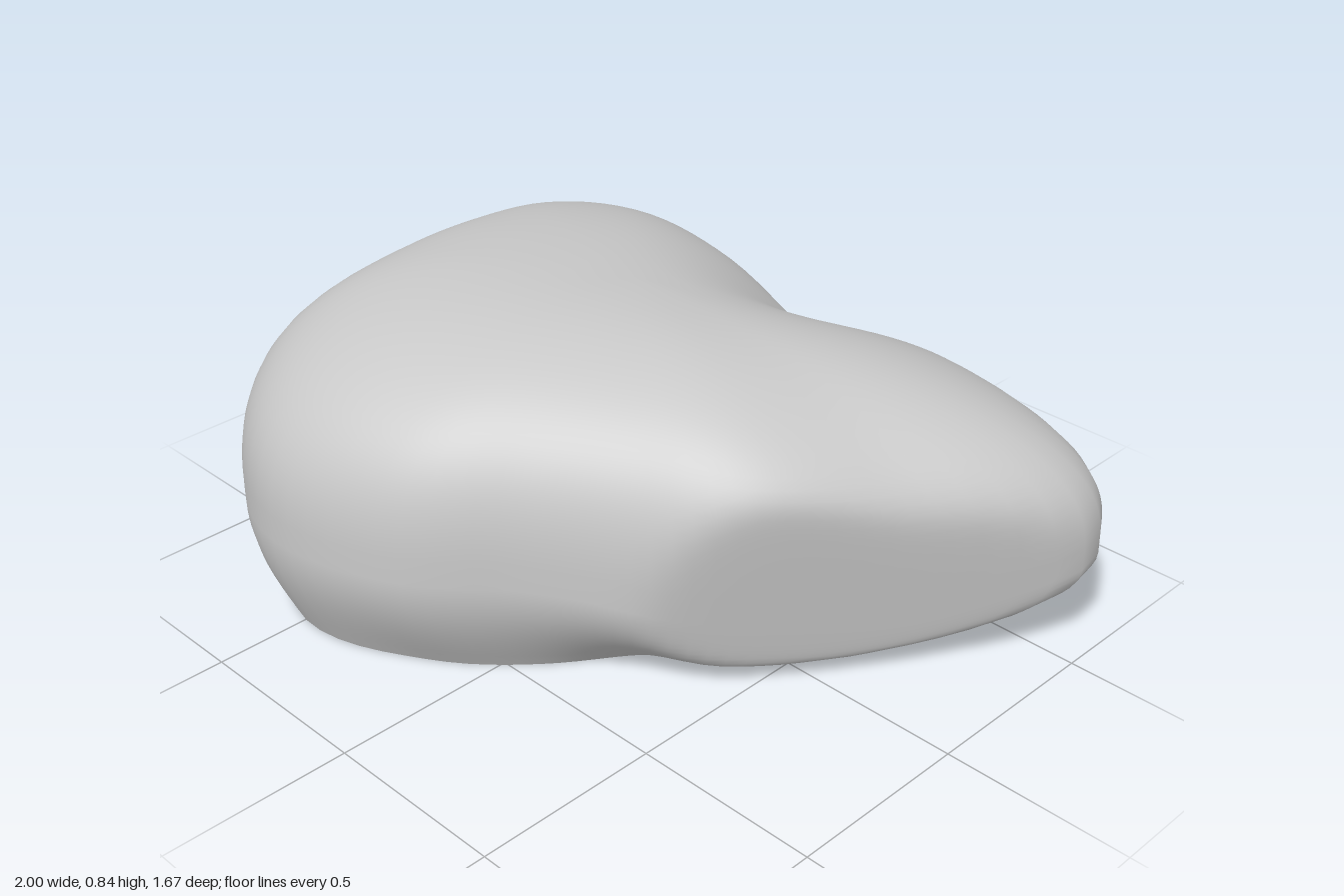
import * as THREE from 'three';

const TAU = Math.PI * 2;
const CENTRE = { x: -0.15, z: -0.1 };
const SEGMENTS = 96, LOWER = 14, UPPER = 28;

// Values every 22.5 degrees, from +x round towards +z
const waistRadii = [0.99, 0.86, 0.71, 0.71, 0.86, 1.0, 1.0, 0.9, 0.87, 0.925, 0.945, 0.79, 0.71, 0.77, 1.01, 1.235];
const waistHeights = [0.15, 0.18, 0.27, 0.3, 0.3, 0.3, 0.3, 0.32, 0.36, 0.37, 0.32, 0.25, 0.23, 0.24, 0.26, 0.29];
const baseRadii = [0.57, 0.53, 0.5, 0.58, 0.73, 0.91, 0.9, 0.74, 0.55, 0.45, 0.41, 0.45, 0.56, 0.62, 0.76, 0.77];

// Smooth periodic interpolation through the values
function sample(values, turn) {
  const n = values.length, f = turn * n, i = Math.floor(f), t = f - i;
  const [a, b, c, d] = [-1, 0, 1, 2].map(k => values[(i + k + n) % n]);
  return b + 0.5 * t * (c - a + t * (2 * a - 5 * b + 4 * c - d + t * (3 * (b - c) + d - a)));
}

// Height of the crown, with a shallow valley running to the back
function crown(x, z) {
  const valley = 0.16 * Math.exp(-((x / 0.25) ** 2) - ((z + 0.82) / 0.42) ** 2);
  return 0.823 - 0.06 * x - 0.16 * (z - 0.22) ** 2 - valley;
}

// Worn flat faces: points beyond a plane are pushed back onto it, with a soft edge
const facets = [
  { normal: new THREE.Vector3(0.8, -0.15, 0.57).normalize(), limit: 0.488, soft: 0.03 },
  { normal: new THREE.Vector3(-0.89, 0.456, 0).normalize(), limit: 1.07, soft: 0.05 },
];
function wear(p) {
  for (const { normal, limit, soft } of facets) {
    const excess = p.dot(normal) - limit;
    p.addScaledVector(normal, -(excess + Math.hypot(excess, soft)) / 2);
  }
  return p;
}

function surfacePoint(ring, turn) {
  const a = turn * TAU;
  const wide = sample(waistRadii, turn), waist = sample(waistHeights, turn);
  const at = r => [CENTRE.x + r * Math.cos(a), CENTRE.z + r * Math.sin(a)];
  if (ring === 0) { // ground outline
    const [x, z] = at(sample(baseRadii, turn));
    return new THREE.Vector3(x, 0, z);
  }
  if (ring <= LOWER) { // undercut flank
    const v = ring / LOWER, base = sample(baseRadii, turn);
    const [x, z] = at(base + (wide - base) * Math.sin(v * Math.PI / 2));
    return wear(new THREE.Vector3(x, waist * v, z));
  }
  // rounded dome
  const phi = (ring - LOWER) / UPPER * Math.PI / 2, power = 2 / 3;
  const [x, z] = at(wide * Math.cos(phi) ** power);
  return wear(new THREE.Vector3(x, waist + (crown(x, z) - waist) * Math.sin(phi) ** power, z));
}

function buildMesh(name, points, index, material) {
  const g = new THREE.BufferGeometry().setFromPoints(points);
  g.setIndex(index);
  g.computeVertexNormals();
  const mesh = new THREE.Mesh(g, material);
  mesh.name = name;
  return mesh;
}

export function createModel() {
  const stone = new THREE.MeshStandardMaterial({ color: 0xc8c8c8 });
  stone.name = 'grey stone';

  // Body: loops from the ground to the crown, closed by one top point
  const points = [], index = [];
  const rings = LOWER + UPPER;
  for (let r = 0; r < rings; r++)
    for (let s = 0; s < SEGMENTS; s++) points.push(surfacePoint(r, s / SEGMENTS));
  const apex = points.push(new THREE.Vector3(CENTRE.x, crown(CENTRE.x, CENTRE.z), CENTRE.z)) - 1;
  for (let r = 0; r < rings; r++)
    for (let s = 0; s < SEGMENTS; s++) {
      const next = (s + 1) % SEGMENTS;
      const a = r * SEGMENTS + s, b = r * SEGMENTS + next;
      if (r === rings - 1) index.push(a, apex, b);
      else index.push(a, a + SEGMENTS, b, b, a + SEGMENTS, b + SEGMENTS);
    }

  // Flat underside
  const rim = points.slice(0, SEGMENTS), fan = [];
  for (let s = 0; s < SEGMENTS; s++) fan.push(SEGMENTS, s, (s + 1) % SEGMENTS);

  const group = new THREE.Group();
  group.name = 'boulder';
  group.add(
    buildMesh('rockBody', points, index, stone),
    buildMesh('rockBase', [...rim, new THREE.Vector3(CENTRE.x, 0, CENTRE.z)], fan, stone),
  );
  return group;
}
